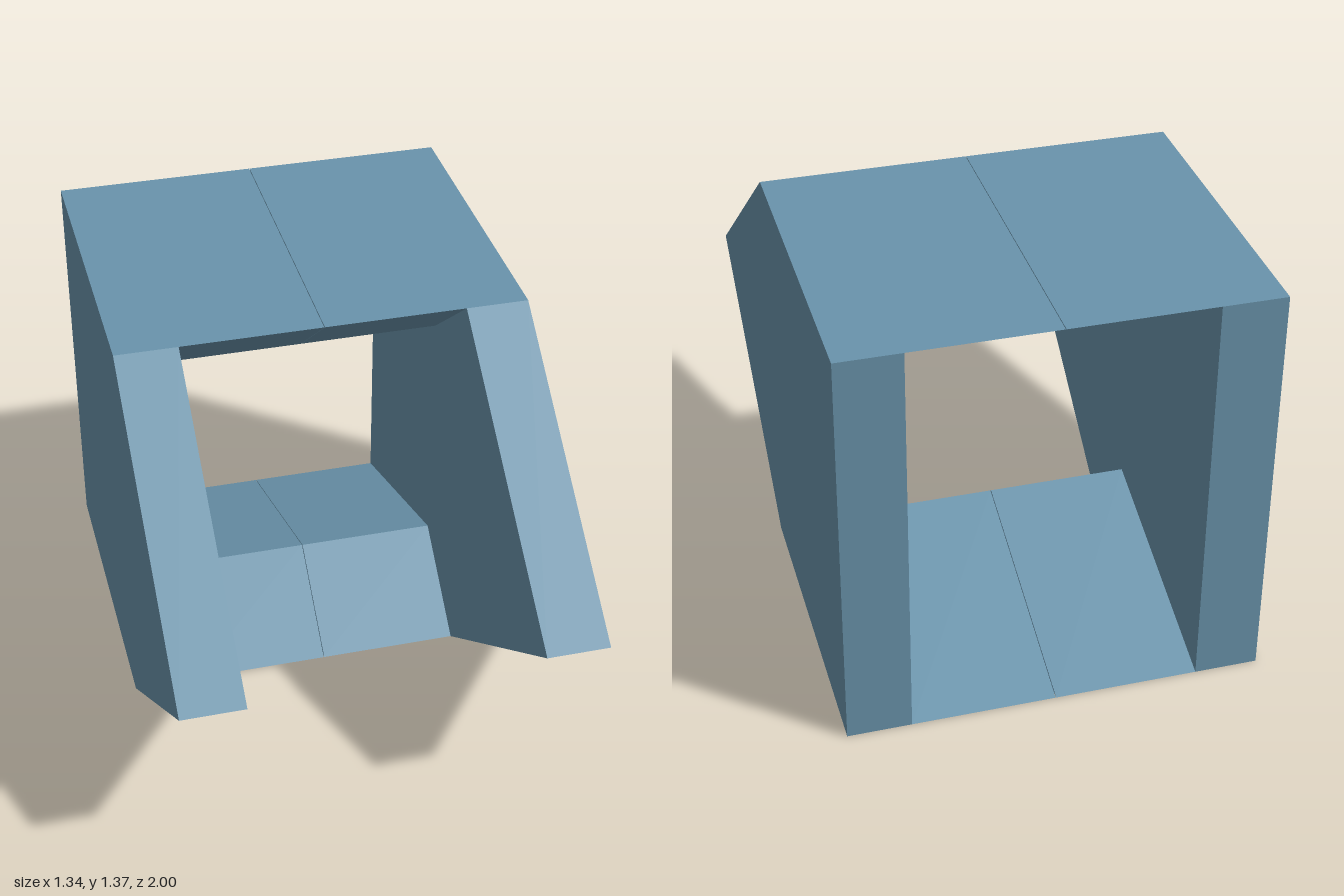
import * as THREE from 'three';

const HEIGHT = 1.365, BACK = -1, CORNER = 0.085, TIP = 1, TIP_Y = 0.671;
const OUTER = 0.67, INNER = 0.465, SEAM = 0.001;
const RIDGE_Z = -0.232;

// Extrude a side profile of [z, y] points across x, from x0 to x1.
function extrudeProfile(points, x0, x1) {
  const shape = new THREE.Shape(points.map(([z, y]) => new THREE.Vector2(-z, y)));
  const geometry = new THREE.ExtrudeGeometry(shape, { depth: x1 - x0, bevelEnabled: false });
  return geometry.rotateY(Math.PI / 2).translate(x0, 0, 0);
}

export function createModel() {
  const model = new THREE.Group();
  model.name = 'wedgeFrame';
  const blue = new THREE.MeshStandardMaterial({ color: 0x6a94ac });
  blue.name = 'slate blue';

  const sideProfile = [[BACK, 0], [CORNER, 0], [TIP, TIP_Y], [CORNER, HEIGHT], [BACK, HEIGHT]];
  const floorProfile = [[BACK, 0], [CORNER, 0], [RIDGE_Z, 0.26]];
  const roofProfile = [[BACK, HEIGHT], [CORNER, HEIGHT], [RIDGE_Z, 1.108]];

  // Two mirrored halves meet at a hairline seam on the centre line.
  for (const [label, side] of [['left', 1], ['right', -1]]) {
    const half = new THREE.Group();
    half.name = label + 'Half';
    const add = (name, profile, near, far) => {
      const [x0, x1] = side > 0 ? [near, far] : [-far, -near];
      const mesh = new THREE.Mesh(extrudeProfile(profile, x0, x1), blue);
      mesh.name = label + name;
      half.add(mesh);
    };
    add('SideWall', sideProfile, INNER, OUTER);
    add('FloorWedge', floorProfile, SEAM, INNER);
    add('RoofWedge', roofProfile, SEAM, INNER);
    model.add(half);
  }
  return model;
}
